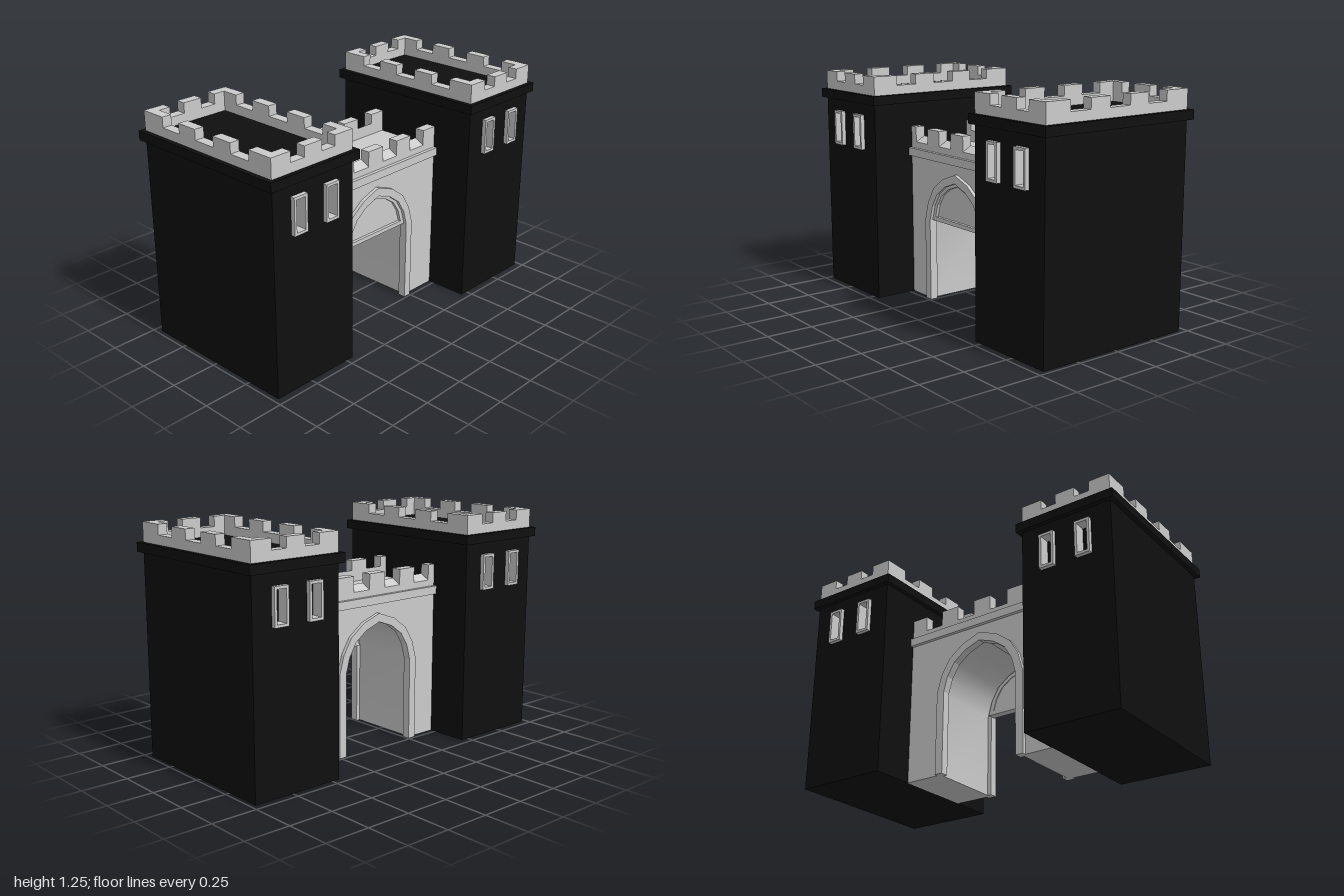
import * as THREE from 'three';
import { toCreasedNormals } from 'three/addons/utils/BufferGeometryUtils.js';

const stone = new THREE.MeshStandardMaterial({ color: 0xcccccc });
const dark = new THREE.MeshStandardMaterial({ color: 0x0f0f0f });

function add(parent, name, geometry, material = stone) {
  const mesh = new THREE.Mesh(geometry, material);
  mesh.name = name;
  parent.add(mesh);
  return mesh;
}

// Box given by its limits on each axis
function box(x0, x1, y0, y1, z0, z1) {
  return new THREE.BoxGeometry(x1 - x0, y1 - y0, z1 - z0)
    .translate((x0 + x1) / 2, (y0 + y1) / 2, (z0 + z1) / 2);
}

const shapeOf = (points) => new THREE.Shape(points.map(([x, y]) => new THREE.Vector2(x, y)));
const pathOf = (points) => new THREE.Path(points.map(([x, y]) => new THREE.Vector2(x, y)));

// Extrude a front-view shape from z0 to z1
function slab(shape, z0, z1) {
  return new THREE.ExtrudeGeometry(shape, { depth: z1 - z0, bevelEnabled: false }).translate(0, 0, z0);
}

function rect(cx, cy, w, h) {
  return [[cx - w / 2, cy - h / 2], [cx + w / 2, cy - h / 2], [cx + w / 2, cy + h / 2], [cx - w / 2, cy + h / 2]];
}

// Pointed arch, from the right springing over the apex to the left
const ARCH_X = -0.022, SPRING = 0.46;
function arch(w, h, y = SPRING) {
  const half = [[1, 0], [0.9, 0.34], [0.71, 0.64], [0.4, 0.86], [0, 1]];
  const right = half.map(([a, b]) => [ARCH_X + a * w, y + b * h]);
  const left = half.slice(0, -1).reverse().map(([a, b]) => [ARCH_X - a * w, y + b * h]);
  return [...right, ...left];
}

// Arch with its jambs carried down to the ground
function doorway(w, h) {
  return [[ARCH_X + w, 0], ...arch(w, h), [ARCH_X - w, 0]];
}

// Battlement wall along x, with gaps cut from the top
function battlement(half, gaps, thickness) {
  const points = [[-half, 1.15], [half, 1.15], [half, 1.255]];
  for (const [a, b] of [...gaps].reverse()) points.push([b, 1.255], [b, 1.2], [a, 1.2], [a, 1.255]);
  points.push([-half, 1.255]);
  return slab(shapeOf(points), -thickness / 2, thickness / 2);
}

function createTower(name) {
  const tower = new THREE.Group();
  tower.name = name;
  const hw = 0.26, hd = 0.46, windowX = [-0.104, 0.104], windowY = 0.9375;

  // Body: a core with pierced front and back faces
  add(tower, 'towerCore', box(-hw, hw, 0, 1.1, -0.42, 0.42), dark);
  const face = shapeOf(rect(0, 0.55, 2 * hw, 1.1));
  for (const x of windowX) face.holes.push(pathOf(rect(x, windowY, 0.07, 0.18)));
  const frame = shapeOf(rect(0, 0, 0.085, 0.195));
  frame.holes.push(pathOf(rect(0, 0, 0.056, 0.166)));
  for (const turn of [0, Math.PI]) {
    add(tower, 'towerFace', slab(face, 0.42, hd), dark).rotation.y = turn;
    for (const x of windowX) {
      add(tower, 'windowFrame', slab(frame, 0.42, 0.483).translate(x, windowY, 0)).rotation.y = turn;
    }
  }

  // Projecting ledge, which also forms the roof
  add(tower, 'ledge', box(-0.285, 0.285, 1.1, 1.15, -0.483, 0.483), dark);

  // Battlements on four sides; the long sides fit between the short ones
  const t = 0.053;
  const endWall = battlement(hw, [[-0.142, -0.055], [0.055, 0.142]], t);
  const sideWall = battlement(hd - t, [[-0.313, -0.188], [-0.065, 0.065], [0.188, 0.313]], t);
  for (const s of [-1, 1]) {
    add(tower, 'endBattlement', endWall).position.z = s * (hd - t / 2);
    const side = add(tower, 'sideBattlement', sideWall);
    side.rotation.y = Math.PI / 2;
    side.position.x = s * (hw - t / 2);
  }
  return tower;
}

function createGatehouse() {
  const gate = new THREE.Group();
  gate.name = 'gatehouse';
  const end = 0.457;

  // Wall with the vaulted passage
  const wall = shapeOf([[-end, 0], ...doorway(0.255, 0.267).reverse(), [end, 0], [end, 0.82], [-end, 0.82]]);
  add(gate, 'gateWall', toCreasedNormals(slab(wall, -0.22, 0.22), 0.5));

  // Cornice, its top being the walkway
  add(gate, 'cornice', box(-end, end, 0.8, 0.845, -0.24, 0.24));

  // Raised arch surrounds, front and back
  const surround = shapeOf([...doorway(0.278, 0.29), ...doorway(0.232, 0.243).reverse()]);
  add(gate, 'frontArchSurround', slab(surround, 0.195, 0.24));
  add(gate, 'backArchSurround', slab(surround, -0.24, -0.195));

  // Framed panel filling the front arch head
  const rim = shapeOf(arch(0.236, 0.247));
  rim.holes.push(pathOf(arch(0.203, 0.2, 0.483)));
  add(gate, 'archPanelRim', slab(rim, 0.175, 0.222));
  add(gate, 'archPanel', slab(shapeOf(arch(0.215, 0.215, 0.472)), 0.18, 0.205));

  // Parapets with sloping sills between the merlons
  const sill = shapeOf([[0.165, 0.845], [0.22, 0.845], [0.22, 0.88], [0.165, 0.91]]);
  const merlons = [[-end, -0.41], [-0.3, -0.19], [-0.08, 0.03], [0.14, 0.25], [0.36, end]];
  for (const turn of [0, Math.PI]) {
    const parapet = new THREE.Group();
    parapet.name = turn ? 'backParapet' : 'frontParapet';
    add(parapet, 'sill', slab(sill, -end, end).rotateY(-Math.PI / 2)).rotation.y = turn;
    for (const [a, b] of merlons) {
      const z = turn ? [-0.22, -0.165] : [0.165, 0.22];
      add(parapet, 'merlon', box(a, b, 0.86, 0.965, ...z));
    }
    gate.add(parapet);
  }
  return gate;
}

export function createModel() {
  const model = new THREE.Group();
  model.name = 'castleGate';
  for (const [name, x] of [['leftTower', 0.715], ['rightTower', -0.715]]) {
    const tower = createTower(name);
    tower.position.x = x;
    model.add(tower);
  }
  model.add(createGatehouse());
  return model;
}
